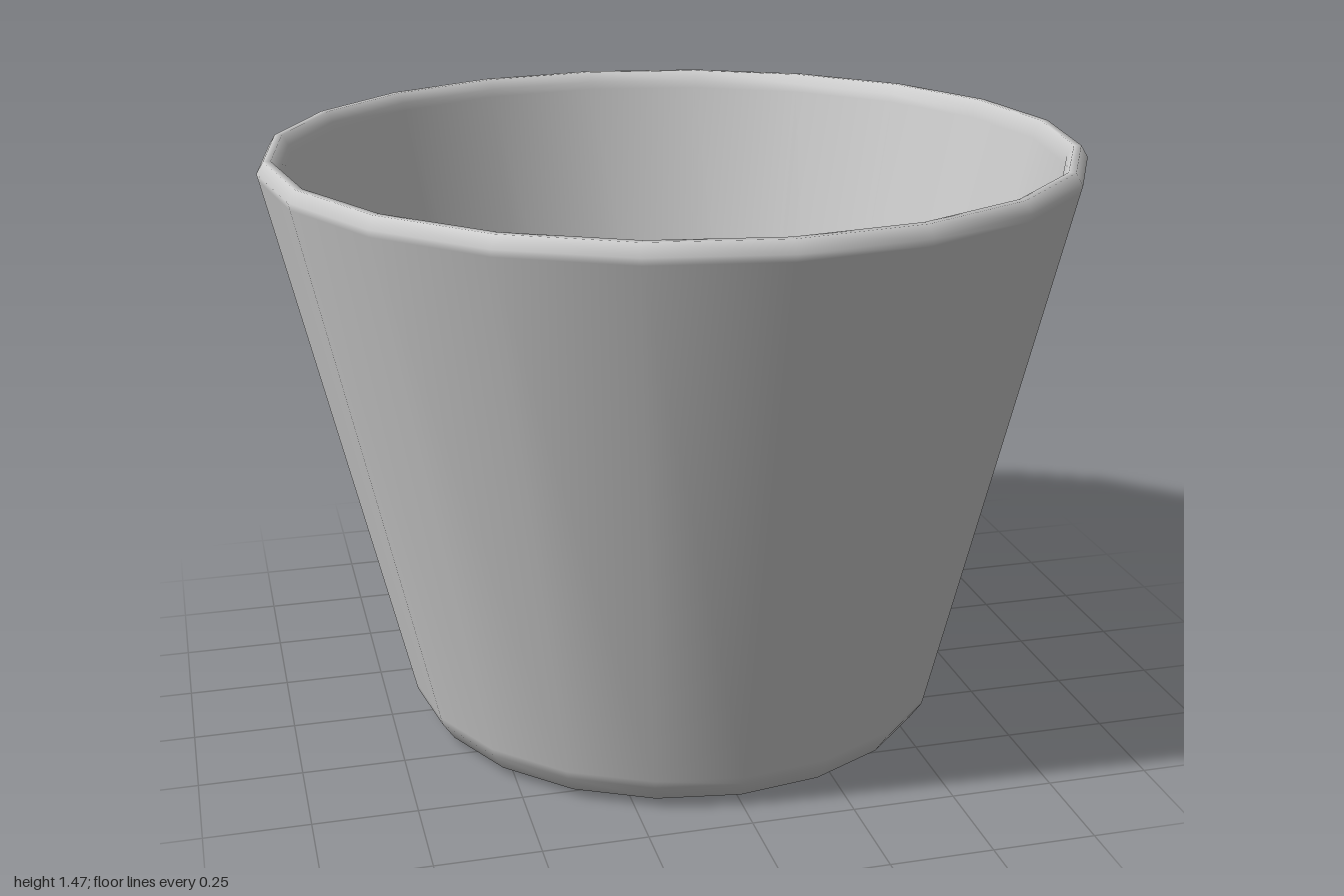
import * as THREE from 'three';

const SIDES = 20;

export function createModel() {
  const group = new THREE.Group();
  group.name = 'cup';
  const material = new THREE.MeshStandardMaterial({ color: 0xcccccc });

  const add = (name, geometry) => {
    const mesh = new THREE.Mesh(geometry, material);
    mesh.name = name;
    group.add(mesh);
    return mesh;
  };

  // Tapered wall: rounded foot, outside, bevelled rim, then down the inside.
  // Extra points near the bevels keep the long faces evenly shaded.
  const profile = [
    [0.61, 0], [0.65, 0.02], [0.68, 0.065], [0.685, 0.085],
    [0.996, 1.42], [1, 1.437], [0.983, 1.465], [0.965, 1.465],
    [0.95, 1.44], [0.946, 1.42], [0.62, 0.04],
  ].map(([r, y]) => new THREE.Vector2(r, y));
  add('wall', new THREE.LatheGeometry(profile, SIDES));

  // Inner floor, meeting the wall at a sharp edge
  const floor = add('innerFloor', new THREE.CircleGeometry(0.62, SIDES));
  floor.rotation.x = -Math.PI / 2;
  floor.position.y = 0.04;

  // Flat underside
  const base = add('underside', new THREE.CircleGeometry(0.61, SIDES));
  base.rotation.x = Math.PI / 2;

  return group;
}
